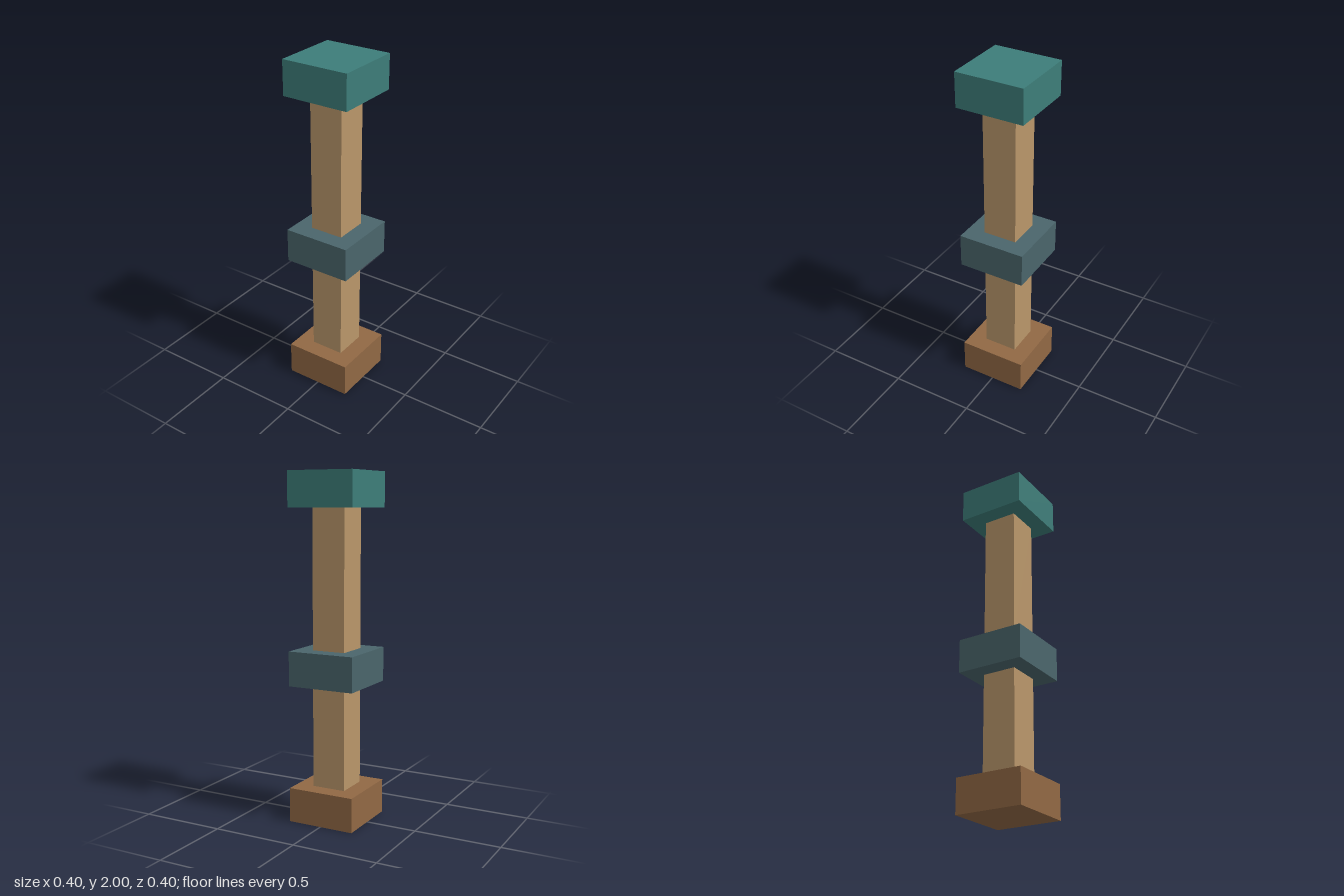
import * as THREE from 'three';

function material(name, color) {
  const m = new THREE.MeshStandardMaterial({ color });
  m.name = name;
  return m;
}

export function createModel() {
  const group = new THREE.Group();
  group.name = 'post';

  const wood = material('light wood', 0xb9966a);
  const brown = material('brown', 0x916844);
  const slate = material('slate', 0x4a656b);
  const teal = material('teal', 0x3d7d79);

  // Square block standing between two heights
  const block = (name, width, bottom, top, mat) => {
    const mesh = new THREE.Mesh(new THREE.BoxGeometry(width, top - bottom, width), mat);
    mesh.name = name;
    mesh.position.y = (bottom + top) / 2;
    group.add(mesh);
  };

  // Base, collar and cap joined by two lengths of shaft
  block('base', 0.4, 0, 0.2, brown);
  block('lowerShaft', 0.2, 0.2, 0.8, wood);
  block('collar', 0.4, 0.8, 1, slate);
  block('upperShaft', 0.2, 1, 1.8, wood);
  block('cap', 0.4, 1.8, 2, teal);

  return group;
}
